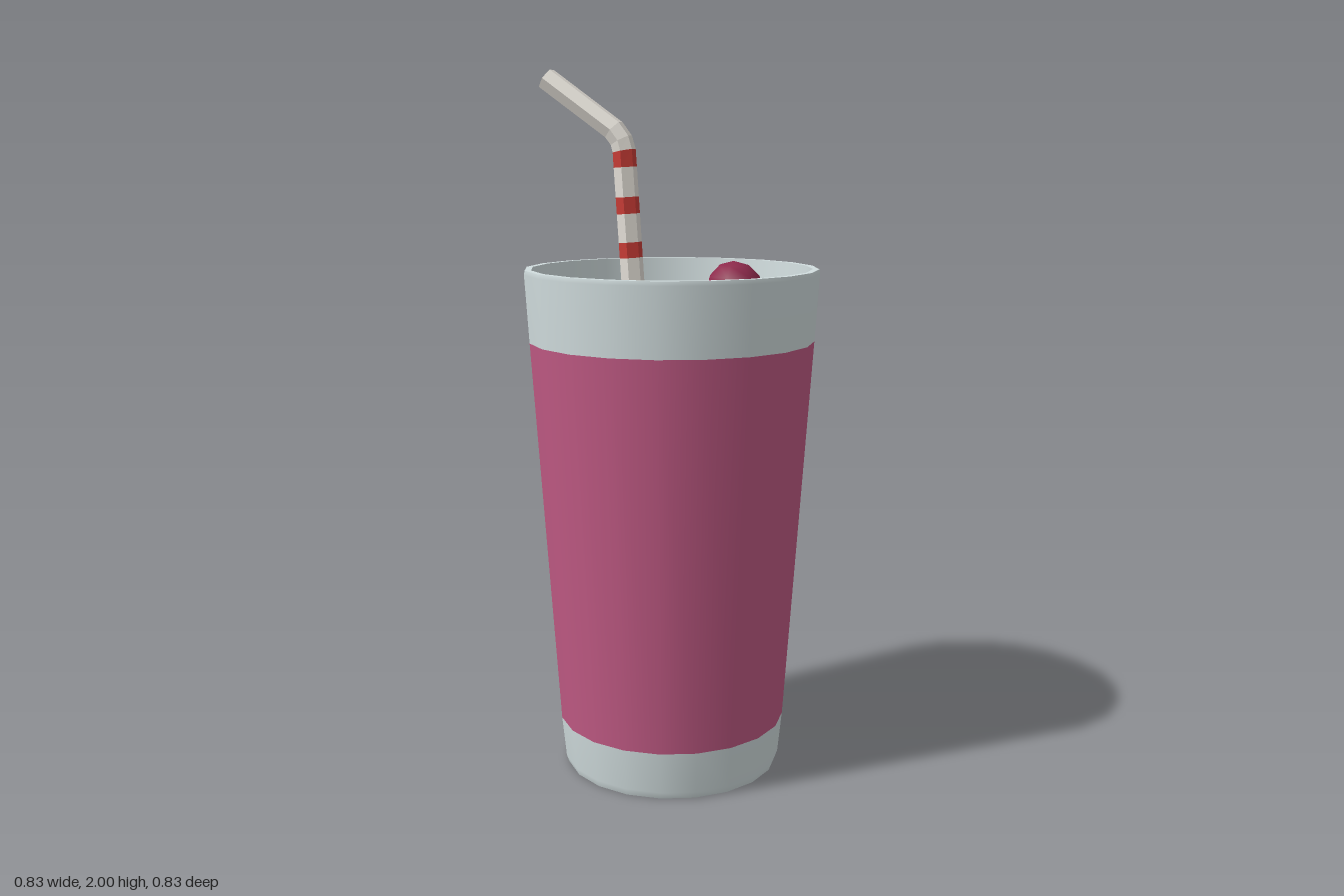
import * as THREE from 'three';

const SIDES = 20;

const mat = (color, extra = {}) => new THREE.MeshStandardMaterial({ color, ...extra });
const glassMat = mat(0xd2dedf);
const sleeveMat = mat(0xc05a84);
const drinkMat = mat(0xc4749a);
const strawMat = mat(0xe4e0d8, { flatShading: true });
const stripeMat = mat(0xc83c36, { flatShading: true });
const berryMat = mat(0x8e2a4c);
const leafMat = mat(0x3c7a2c, { flatShading: true, side: THREE.DoubleSide });

function add(parent, name, geometry, material) {
  const mesh = new THREE.Mesh(geometry, material);
  mesh.name = name;
  parent.add(mesh);
  return mesh;
}

// Turned piece from [radius, height] pairs
function turned(parent, name, profile, material) {
  const points = profile.map(([r, y]) => new THREE.Vector2(r, y));
  return add(parent, name, new THREE.LatheGeometry(points, SIDES), material);
}

// Surface through rows of equally many points
function loft(rows) {
  const n = rows[0].length;
  const index = [];
  for (let i = 0; i < rows.length - 1; i++) {
    for (let j = 0; j < n - 1; j++) {
      const a = i * n + j, b = a + 1, c = a + n, d = c + 1;
      index.push(a, b, d, a, d, c);
    }
  }
  const geometry = new THREE.BufferGeometry().setFromPoints(rows.flat());
  geometry.setIndex(index);
  geometry.computeVertexNormals();
  return geometry;
}

function createCup() {
  const cup = new THREE.Group();
  cup.name = 'cup';
  turned(cup, 'cupBottom', [[0, 0], [0.31, 0]], glassMat);
  turned(cup, 'lowerBand', [[0.31, 0], [0.317, 0.02], [0.329, 0.14]], glassMat);
  turned(cup, 'sleeve', [[0.329, 0.14], [0.403, 1.25]], sleeveMat);
  turned(cup, 'upperBand', [[0.403, 1.25], [0.415, 1.44], [0.413, 1.452]], glassMat);
  turned(cup, 'rim', [[0.413, 1.452], [0.395, 1.452]], glassMat);
  turned(cup, 'innerWall', [[0.395, 1.452], [0.383, 1.29]], glassMat);
  turned(cup, 'drinkSurface', [[0.385, 1.312], [0.26, 1.323], [0.13, 1.332], [0, 1.335]], drinkMat);
  return cup;
}

function createStraw() {
  const straw = new THREE.Group();
  straw.name = 'straw';
  const radius = 0.033;
  // The straw bends in one upright plane: [outward, height]
  const lean = new THREE.Vector3(-0.91, 0, 0.41).normalize();
  const foot = new THREE.Vector3(-0.112, 0, 0.072);
  const shaft = [1.2, 1.48, 1.523, 1.602, 1.648, 1.73, 1.775].map((y) => [(y - 1.775) * 0.065, y]);
  const path = [...shaft, [0.008, 1.803], [0.03, 1.832], [0.229, 1.973]];
  const centres = path.map(([u, y]) => foot.clone().addScaledVector(lean, u).setY(y));
  const across = new THREE.Vector3().crossVectors(lean, new THREE.Vector3(0, 1, 0));

  const rings = centres.map((centre, i) => {
    const prev = centres[Math.max(i - 1, 0)];
    const next = centres[Math.min(i + 1, centres.length - 1)];
    const inDir = centre.clone().sub(prev).normalize();
    const outDir = next.clone().sub(centre).normalize();
    const tangent = inDir.add(outDir).normalize();
    const up = new THREE.Vector3().crossVectors(tangent, across);
    return Array.from({ length: 7 }, (_, k) => {
      const a = (k / 6) * Math.PI * 2;
      return centre.clone()
        .addScaledVector(across, Math.cos(a) * radius)
        .addScaledVector(up, Math.sin(a) * radius);
    });
  });

  for (let i = 0; i < rings.length - 1; i++) {
    const striped = i === 1 || i === 3 || i === 5;
    add(straw, striped ? 'strawStripe' : 'strawTube', loft([rings[i], rings[i + 1]]),
      striped ? stripeMat : strawMat);
  }
  // Closed tip
  const last = rings.length - 1;
  add(straw, 'strawTip', loft([rings[last], rings[last].map(() => centres[last].clone())]), strawMat);
  return straw;
}

// Leaf folded slightly along its midrib, running from one tip to the other
function createLeaf(parent, from, to) {
  const length = Math.hypot(to[0] - from[0], to[1] - from[1]);
  const rows = [0, 0.25, 0.5, 0.75, 1].map((t) => {
    const half = 0.05 * Math.pow(Math.sin(Math.PI * t), 0.8);
    const arch = 0.008 * Math.sin(Math.PI * t);
    return [-1, 0, 1].map((s) =>
      new THREE.Vector3(t * length, arch - (s === 0 ? 0.2 * half : 0), s * half));
  });
  const leaf = add(parent, 'leaf', loft(rows), leafMat);
  leaf.position.set(from[0], 1.363, from[1]);
  leaf.rotation.y = -Math.atan2(to[1] - from[1], to[0] - from[0]);
}

function createGarnish() {
  const garnish = new THREE.Group();
  garnish.name = 'garnish';
  const berry = add(garnish, 'berry', new THREE.SphereGeometry(0.084, 7, 6), berryMat);
  berry.position.set(0.155, 1.391, -0.085);
  berry.rotation.y = -Math.PI / 2;
  createLeaf(garnish, [-0.04, -0.08], [0.12, -0.172]);
  createLeaf(garnish, [0.26, 0.125], [0.2, -0.05]);
  return garnish;
}

export function createModel() {
  const model = new THREE.Group();
  model.name = 'drink';
  model.add(createCup(), createStraw(), createGarnish());
  return model;
}
